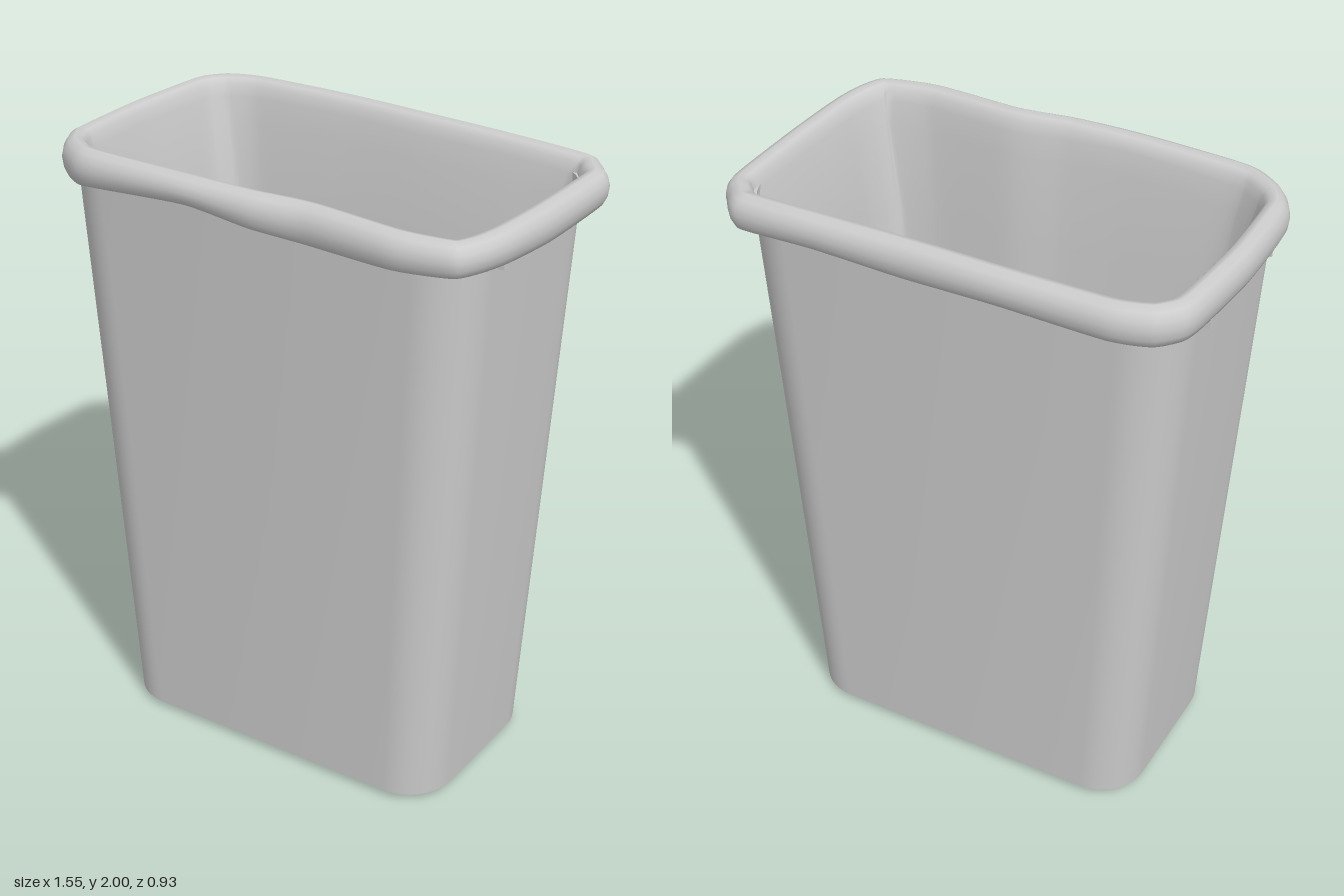
import * as THREE from 'three';
import { toCreasedNormals } from 'three/addons/utils/BufferGeometryUtils.js';

// Skins closed rings of points (all the same length) in order.
function loft(rings, crease) {
  const n = rings[0].length, index = [];
  for (let j = 0; j < rings.length - 1; j++) {
    for (let i = 0; i < n; i++) {
      const k = (i + 1) % n;
      const a = j * n + i, b = j * n + k, c = a + n, d = b + n;
      index.push(a, c, b, b, c, d);
    }
  }
  const geometry = new THREE.BufferGeometry().setFromPoints(rings.flat());
  geometry.setIndex(index);
  return toCreasedNormals(geometry, crease);
}

// Horizontal rounded rectangle with half sizes hx, hz and corner radius r.
function roundedRing(y, hx, hz, r, steps = 10) {
  const points = [];
  const corners = [[-1, -1], [1, -1], [1, 1], [-1, 1]];
  corners.forEach(([sx, sz], q) => {
    for (let i = 0; i <= steps; i++) {
      const a = Math.PI + (q + i / steps) * Math.PI / 2;
      points.push(new THREE.Vector3(
        -0.01 + sx * (hx - r) + r * Math.cos(a), y,
        -0.005 + sz * (hz - r) + r * Math.sin(a)));
    }
  });
  return points;
}

// Around the rim: outer x, z, lower edge y, then matching liner floor x, z.
const linerPoints = [
  [-0.755, -0.27, 1.87, -0.52, -0.18], [-0.735, -0.35, 1.87, -0.5, -0.24],
  [-0.67, -0.42, 1.87, -0.46, -0.28], [-0.54, -0.46, 1.875, -0.4, -0.28],
  [-0.2, -0.468, 1.885, -0.15, -0.275], [0.1, -0.462, 1.875, 0.1, -0.27],
  [0.4, -0.46, 1.88, 0.35, -0.255], [0.66, -0.45, 1.865, 0.46, -0.265],
  [0.725, -0.395, 1.865, 0.48, -0.22], [0.77, -0.315, 1.865, 0.5, -0.16],
  [0.77, 0, 1.86, 0.52, 0], [0.758, 0.22, 1.87, 0.53, 0.17],
  [0.735, 0.335, 1.875, 0.51, 0.25], [0.685, 0.42, 1.875, 0.46, 0.29],
  [0.5, 0.457, 1.87, 0.38, 0.285], [0.2, 0.44, 1.87, 0.15, 0.28],
  [0.02, 0.46, 1.885, 0, 0.29], [-0.2, 0.465, 1.91, -0.15, 0.295],
  [-0.53, 0.457, 1.885, -0.4, 0.295], [-0.62, 0.44, 1.875, -0.46, 0.28],
  [-0.71, 0.38, 1.87, -0.5, 0.25], [-0.765, 0.28, 1.87, -0.525, 0.18],
  [-0.775, 0, 1.87, -0.52, 0],
];

// Bag rolled over the lip and hanging down to its own floor.
function linerGeometry() {
  const N = 184, FLOOR = 0.06;
  const curve = pts => new THREE.CatmullRomCurve3(pts, true, 'catmullrom', 0.32);
  const edge = curve(linerPoints.map(p => new THREE.Vector3(p[0], p[2], p[1])));
  const floor = curve(linerPoints.map(p => new THREE.Vector3(p[3], FLOOR, p[4])));
  // inset from the outer edge, height from lower edge (0) to top (1)
  const roll = [[0.058, 0.2], [0.035, 0], [0.015, 0.05], [0.004, 0.25], [0, 0.5],
    [0.006, 0.72], [0.02, 0.9], [0.042, 1], [0.064, 0.95], [0.078, 0.8], [0.086, 0.5]];
  // share of the way in, share of the way down: slack at the top, steeper below
  const drop = [[0.12, 0.04], [0.4, 0.2], [0.7, 0.6], [1, 1]];
  const rings = Array.from({ length: roll.length + drop.length + 1 }, () => []);
  for (let i = 0; i < N; i++) {
    const p = edge.getPoint(i / N), f = floor.getPoint(i / N);
    const t = edge.getTangent(i / N);
    const inward = new THREE.Vector3(-t.z, 0, t.x).normalize();
    const top = 1.998 - 0.02 * (p.x + 0.3) ** 2;
    let last;
    roll.forEach(([inset, h], j) => {
      last = p.clone().addScaledVector(inward, inset);
      last.y = p.y + (top - p.y) * h;
      rings[j].push(last);
    });
    drop.forEach(([inShare, downShare], j) => {
      const q = last.clone().lerp(f, inShare);
      q.y = THREE.MathUtils.lerp(last.y, f.y, downShare);
      rings[roll.length + j].push(q);
    });
    rings[rings.length - 1].push(new THREE.Vector3(0, FLOOR, 0));
  }
  return loft(rings, 1.0);
}

export function createModel() {
  const group = new THREE.Group();
  group.name = 'wasteBin';
  const grey = new THREE.MeshStandardMaterial({ color: 0xcccccc, side: THREE.DoubleSide });
  grey.name = 'light grey plastic';
  const add = (name, geometry) => {
    const mesh = new THREE.Mesh(geometry, grey);
    mesh.name = name;
    group.add(mesh);
    return mesh;
  };

  // Tapered shell with a recessed foot, lip and inner wall
  add('binBody', loft([
    roundedRing(0, 0, 0, 0),
    roundedRing(0, 0.555, 0.307, 0.13),
    roundedRing(0.02, 0.562, 0.312, 0.13),
    roundedRing(0.02, 0.598, 0.343, 0.155),
    roundedRing(1.93, 0.714, 0.406, 0.17),
    roundedRing(1.93, 0.702, 0.394, 0.16),
    roundedRing(0.04, 0.586, 0.331, 0.145),
  ], 0.6));

  add('bagLiner', linerGeometry());

  // Small ribs under the lip at both ends
  for (const sx of [-1, 1]) {
    for (const sz of [-1, 1]) {
      const rib = add('lipRib', new THREE.BoxGeometry(0.02, 0.06, 0.01));
      rib.position.set(-0.01 + sx * 0.728, 1.877, sz * 0.21);
    }
  }
  return group;
}
